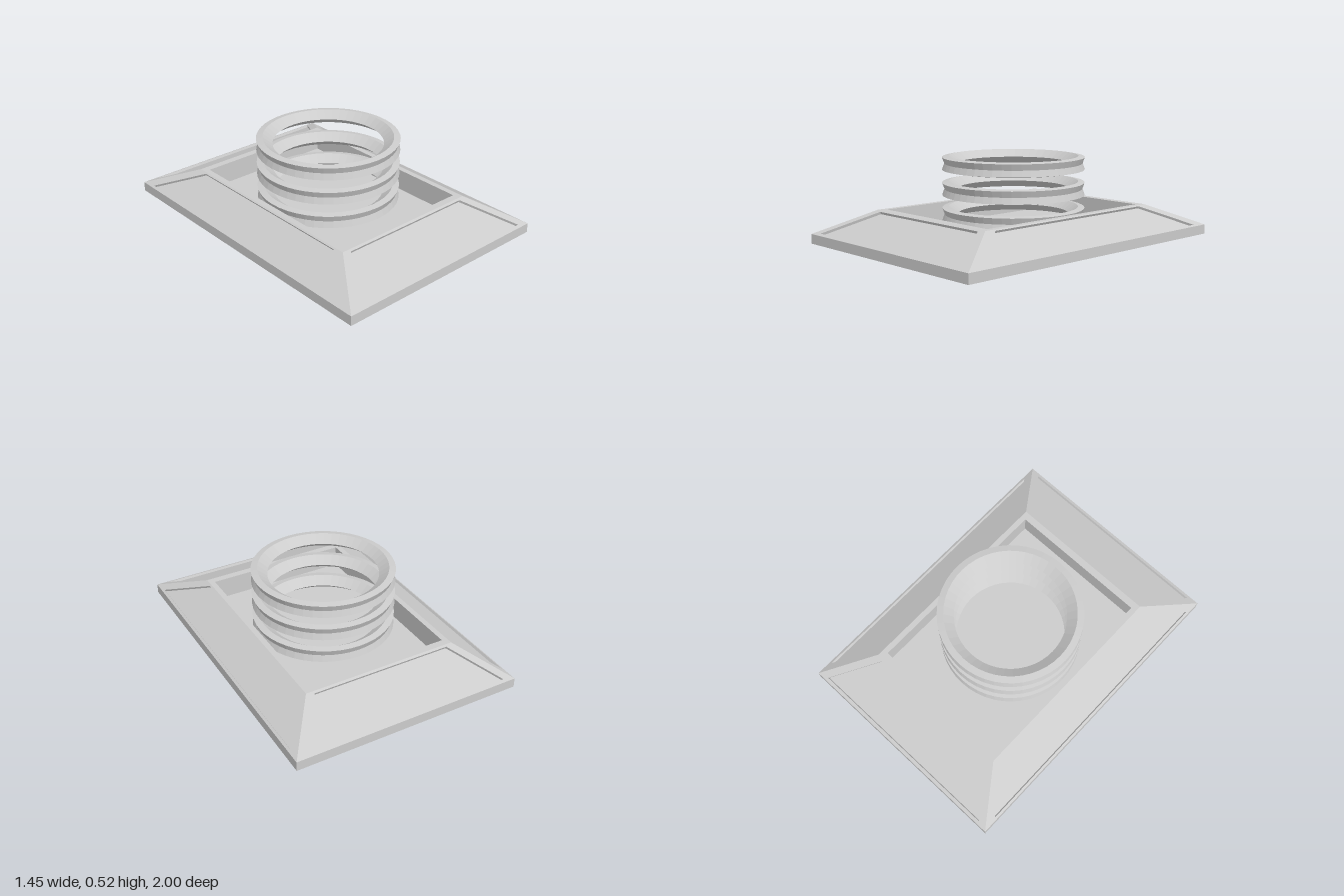
import * as THREE from 'three';

const grey = new THREE.MeshStandardMaterial({ color: 0xcccccc, flatShading: true });

// Rectangular loop at height y, counter-clockwise seen from above
const rect = (x, z, y) => [[-x, y, z], [x, y, z], [x, y, -z], [-x, y, -z]];

// Faces joining two four-cornered loops
function bridge(a, b) {
  const out = [];
  for (let i = 0; i < 4; i++) {
    const j = (i + 1) % 4;
    out.push(a[i], a[j], b[j], a[i], b[j], b[i]);
  }
  return out;
}
const cap = (l) => [l[0], l[1], l[2], l[0], l[2], l[3]];

function meshFrom(name, corners) {
  const geo = new THREE.BufferGeometry();
  geo.setAttribute('position', new THREE.Float32BufferAttribute(corners.flat(), 3));
  geo.computeVertexNormals();
  const mesh = new THREE.Mesh(geo, grey);
  mesh.name = name;
  return mesh;
}

// Sloped side facing +z, with a sunken trapezoid panel
function slopedSide(name, bottom, top, panelBottom, panelTop, angle) {
  const yLow = 0.06, yHigh = 0.2, depth = 0.016;
  const run = bottom.z - top.z, rise = yHigh - yLow;
  const len = Math.hypot(run, rise);
  const yAt = (z) => yLow + rise * (bottom.z - z) / run;
  const loop = (lo, hi) => [
    [-lo.x, yAt(lo.z), lo.z], [lo.x, yAt(lo.z), lo.z],
    [hi.x, yAt(hi.z), hi.z], [-hi.x, yAt(hi.z), hi.z],
  ];
  const edge = loop(bottom, top);
  const panel = loop(panelBottom, panelTop);
  const sunk = panel.map(([x, y, z]) => [x, y - depth * run / len, z - depth * rise / len]);
  const mesh = meshFrom(name, [...bridge(edge, panel), ...bridge(panel, sunk), ...cap(sunk)]);
  mesh.rotation.y = angle;
  return mesh;
}

// Ring with a grooved outside and a ridged inside
function ring(y) {
  const profile = [
    [0.40, -0.045], [0.44, -0.038], [0.426, 0], [0.44, 0.038],
    [0.40, 0.045], [0.34, 0], [0.40, -0.045],
  ].map(([r, h]) => new THREE.Vector2(r, h));
  const mesh = new THREE.Mesh(new THREE.LatheGeometry(profile, 48), grey);
  mesh.name = 'ring';
  mesh.position.y = y;
  return mesh;
}

export function createModel() {
  const model = new THREE.Group();
  model.name = 'ringPedestal';

  // Slab foot
  const ground = rect(0.725, 1, 0), slabTop = rect(0.725, 1, 0.06);
  model.add(meshFrom('slab', [...bridge(ground, slabTop), ...cap([...ground].reverse())]));

  // Flat rim and sunken tray
  const rimOuter = rect(0.49, 0.675, 0.2), rimInner = rect(0.455, 0.63, 0.2);
  const floor = rect(0.455, 0.63, 0.065);
  model.add(meshFrom('rim', bridge(rimOuter, rimInner)));
  model.add(meshFrom('tray', [...bridge(rimInner, floor), ...cap(floor)]));

  // Sloped sides in opposite pairs
  for (const turn of [0, Math.PI]) {
    model.add(slopedSide(turn ? 'backSlope' : 'frontSlope',
      { x: 0.725, z: 1 }, { x: 0.49, z: 0.675 },
      { x: 0.655, z: 0.98 }, { x: 0.445, z: 0.69 }, turn));
    model.add(slopedSide(turn ? 'rightSlope' : 'leftSlope',
      { x: 1, z: 0.725 }, { x: 0.675, z: 0.49 },
      { x: 0.9, z: 0.711 }, { x: 0.61, z: 0.5 }, turn + Math.PI / 2));
  }

  // Stack of floating rings
  const rings = new THREE.Group();
  rings.name = 'rings';
  for (let i = 0; i < 3; i++) rings.add(ring(0.163 + i * 0.157));
  model.add(rings);

  return model;
}
